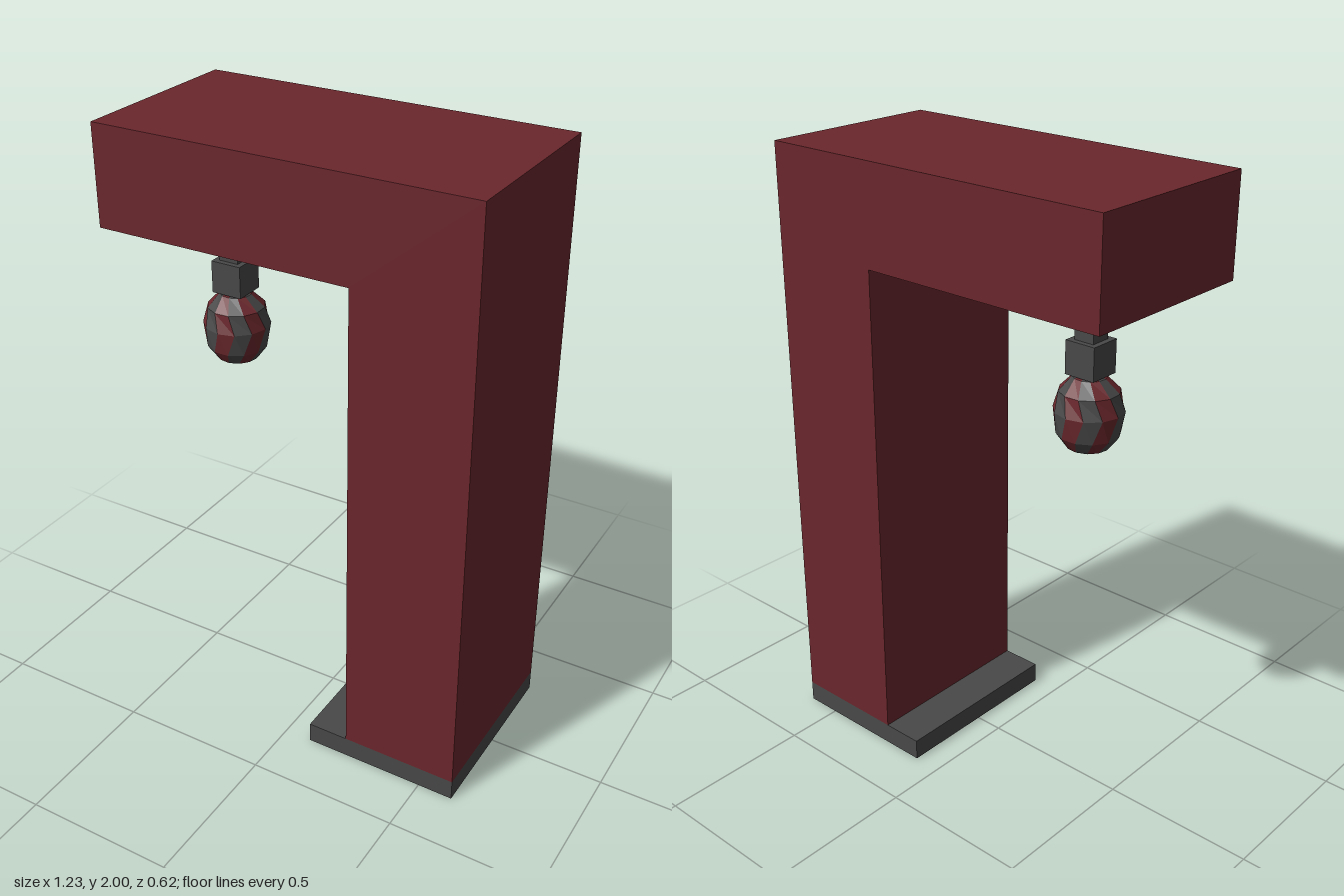
import * as THREE from 'three';

export function createModel() {
  const model = new THREE.Group();
  const red = new THREE.MeshStandardMaterial({ color: 0x6a272c, flatShading: true });
  const dark = new THREE.MeshStandardMaterial({ color: 0x484848, flatShading: true });

  const add = (name, geometry, material, x = 0, y = 0, z = 0) => {
    const mesh = new THREE.Mesh(geometry, material);
    mesh.name = name;
    mesh.position.set(x, y, z);
    model.add(mesh);
  };
  const box = (name, x0, x1, y0, y1, depth, material) =>
    add(name, new THREE.BoxGeometry(x1 - x0, y1 - y0, depth), material, (x0 + x1) / 2, (y0 + y1) / 2);

  // Post and overhanging arm in one piece
  const outline = [[0.23, 0.07], [0.617, 0.07], [0.617, 2], [-0.617, 2], [-0.617, 1.68], [0.23, 1.68]];
  const shape = new THREE.Shape(outline.map(([x, y]) => new THREE.Vector2(x, y)));
  const frame = new THREE.ExtrudeGeometry(shape, { depth: 0.618, bevelEnabled: false });
  add('postAndArm', frame, red, 0, 0, -0.309);

  // Foot plate, hanging rod and socket
  box('footPlate', 0.093, 0.617, 0, 0.07, 0.618, dark);
  const hangX = -0.354;
  box('hangingRod', hangX - 0.034, hangX + 0.034, 1.52, 1.68, 0.068, dark);
  box('socket', hangX - 0.052, hangX + 0.052, 1.42, 1.525, 0.104, dark);

  // Faceted ball with zigzag stripes: [radius, height, twist] for each ring
  const rings = [
    [0, 1.175, -0.15], [0.066, 1.193, -0.15], [0.097, 1.235, 0], [0.108, 1.31, 0.25],
    [0.093, 1.37, 0.05], [0.052, 1.413, -0.1], [0, 1.425, -0.1],
  ];
  const sides = 12;
  const stripes = (parity) => {
    const positions = [];
    const corner = (ring, i) => {
      const [r, y, twist] = rings[ring];
      const a = ((i - 0.5) / sides) * Math.PI * 2 + twist;
      return [r * Math.sin(a), y, r * Math.cos(a)];
    };
    for (let i = parity; i < sides; i += 2) {
      for (let k = 0; k < rings.length - 1; k++) {
        const a = corner(k, i), b = corner(k, i + 1);
        const c = corner(k + 1, i + 1), d = corner(k + 1, i);
        if (k > 0) positions.push(...a, ...b, ...d);
        if (k < rings.length - 2) positions.push(...b, ...c, ...d);
        if (k === 0) positions.splice(-9, 9, ...a, ...c, ...d);
      }
    }
    const geometry = new THREE.BufferGeometry();
    geometry.setAttribute('position', new THREE.Float32BufferAttribute(positions, 3));
    geometry.computeVertexNormals();
    return geometry;
  };
  add('ballRedStripes', stripes(0), red, hangX);
  add('ballDarkStripes', stripes(1), dark, hangX);

  return model;
}
